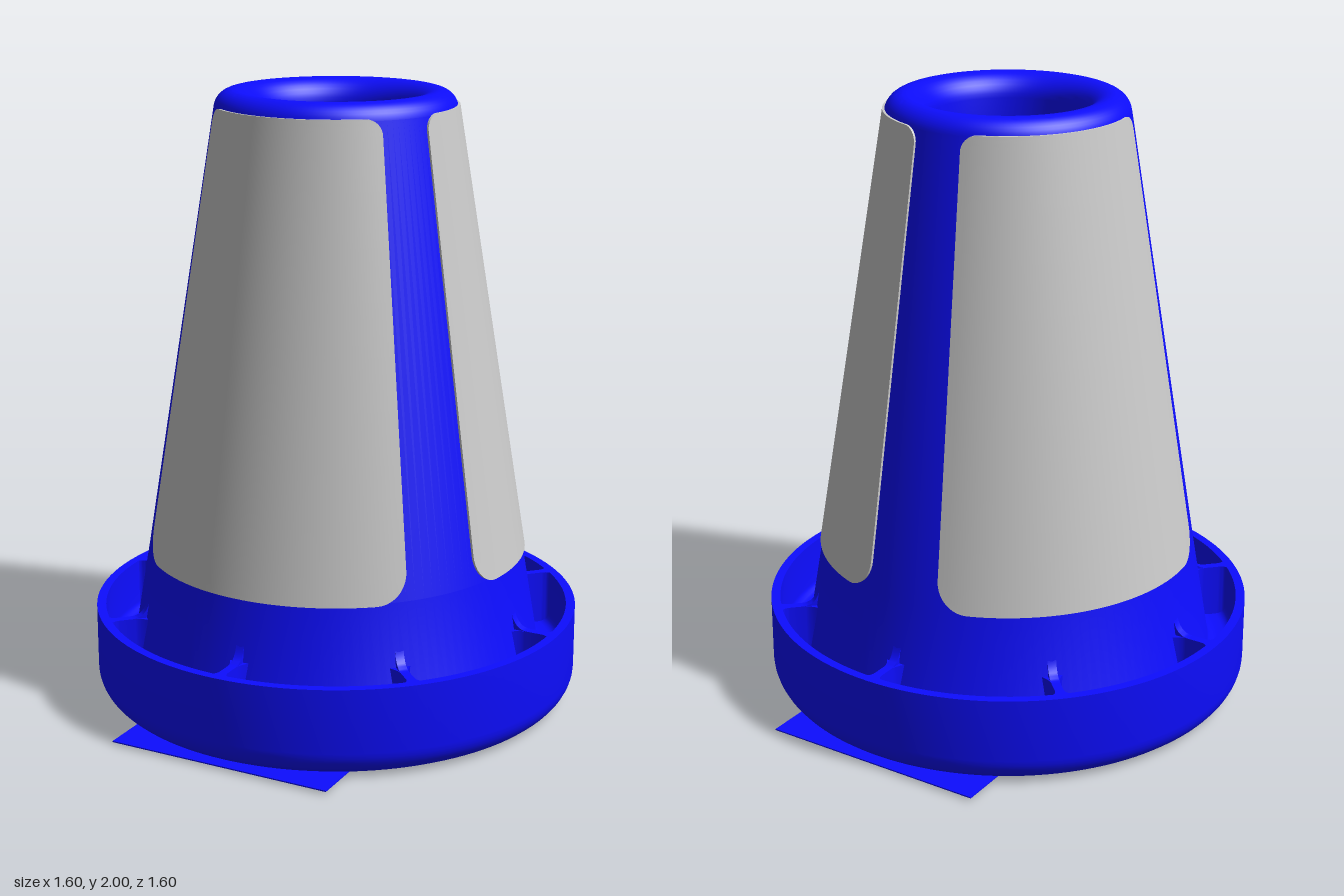
import * as THREE from 'three';
import { toCreasedNormals } from 'three/addons/utils/BufferGeometryUtils.js';

const blue = new THREE.MeshStandardMaterial({ color: 0x0d0dff, side: THREE.DoubleSide });
const grey = new THREE.MeshStandardMaterial({ color: 0xcccccc, side: THREE.DoubleSide });

// Radius of the cone's outer wall at height y
const coneRadius = (y) => 0.701 - 0.162 * y;

function add(parent, name, geometry, material) {
  const mesh = new THREE.Mesh(geometry, material);
  mesh.name = name;
  parent.add(mesh);
  return mesh;
}

// Points along a circular arc, angles in degrees
function arc(cx, cy, r, from, to, n = 8) {
  return Array.from({ length: n + 1 }, (_, i) => {
    const a = THREE.MathUtils.degToRad(from + ((to - from) * i) / n);
    return new THREE.Vector2(cx + r * Math.cos(a), cy + r * Math.sin(a));
  });
}

// Hollow cone with rolled lip and a troughed, round-bottomed base
function bodyGeometry() {
  const p = (x, y) => new THREE.Vector2(x, y);
  const profile = [
    p(0.25, 1.84), p(0.36, 1.88),
    p(coneRadius(0.3) - 0.03, 0.3),
    ...arc(0.68, 0.04, 0.04, 180, 270, 5),
    ...arc(0.71, 0.09, 0.09, 270, 360),
    p(0.8, 0.3), p(0.77, 0.3),
    ...arc(0.74, 0.15, 0.03, 0, -90, 5),
    ...arc(0.71, 0.15, 0.03, 270, 190, 5),
    p(coneRadius(0.5), 0.5),
    ...arc(coneRadius(1.94) - 0.06, 1.94, 0.06, 8, 90),
    ...arc(0.325, 1.925, 0.075, 90, 180),
    p(0.25, 1.84),
  ];
  return toCreasedNormals(new THREE.LatheGeometry(profile, 128), 0.6);
}

// Curved cover with rounded corners whose border folds into the cone
function panelGeometry() {
  const y0 = 0.495, y1 = 1.955, half = THREE.MathUtils.degToRad(48);
  const rows = [];
  const n = 10;
  const corner = (r, t) => [r * (1 - Math.cos(t)), r * (1 - Math.sin(t))];
  for (let i = 0; i <= n; i++) {
    const [dy, inset] = corner(0.1, (i / n) * Math.PI / 2);
    rows.push([y0 + dy, inset]);
  }
  for (let i = 1; i < 8; i++) rows.push([THREE.MathUtils.lerp(y0 + 0.1, y1 - 0.05, i / 8), 0]);
  for (let i = n; i >= 0; i--) {
    const [dy, inset] = corner(0.05, (i / n) * Math.PI / 2);
    rows.push([y1 - dy, inset]);
  }
  // Repeat the end rows so the border can fold inward
  rows.unshift(rows[0]);
  rows.push(rows[rows.length - 1]);
  const cols = 34, last = rows.length - 1;
  const g = new THREE.PlaneGeometry(1, 1, cols, last);
  const pos = g.attributes.position;
  for (let k = 0; k < pos.count; k++) {
    const i = k % (cols + 1), j = last - Math.floor(k / (cols + 1));
    const [y, inset] = rows[j];
    const border = i === 0 || i === cols || j === 0 || j === last;
    const u = THREE.MathUtils.clamp((i - 1) / (cols - 2), 0, 1) * 2 - 1;
    const a = u * (half - inset / coneRadius(y));
    const r = coneRadius(y) + (border ? -0.004 : 0.008);
    pos.setXYZ(k, r * Math.sin(a), y, r * Math.cos(a));
  }
  return toCreasedNormals(g, 0.6);
}

// Trough divider: an upright web flared at both ends
function dividerGeometry() {
  const s = new THREE.Shape();
  s.moveTo(0.645, -0.04);
  s.quadraticCurveTo(0.675, -0.014, 0.7, -0.014);
  s.lineTo(0.745, -0.014);
  s.quadraticCurveTo(0.768, -0.014, 0.775, -0.035);
  s.lineTo(0.775, 0.035);
  s.quadraticCurveTo(0.768, 0.014, 0.745, 0.014);
  s.lineTo(0.7, 0.014);
  s.quadraticCurveTo(0.675, 0.014, 0.645, 0.04);
  const g = new THREE.ExtrudeGeometry(s, { depth: 0.19, bevelEnabled: false, curveSegments: 6 });
  g.rotateX(-Math.PI / 2).translate(0, 0.11, 0);
  return toCreasedNormals(g, 0.6);
}

// Small concave gusset blending a divider into the cone wall
function filletGeometry() {
  const s = new THREE.Shape();
  s.moveTo(0.63, 0.29);
  s.lineTo(0.7, 0.3);
  s.quadraticCurveTo(0.655, 0.3, coneRadius(0.36), 0.36);
  s.lineTo(0.63, 0.36);
  const g = new THREE.ExtrudeGeometry(s, { depth: 0.028, bevelEnabled: false, curveSegments: 8 });
  return toCreasedNormals(g.translate(0, 0, -0.014), 0.6);
}

export function createModel() {
  const model = new THREE.Group();
  model.name = 'taperedCone';
  add(model, 'coneBody', bodyGeometry(), blue);

  // Three covers around the cone, one facing the front
  const panel = panelGeometry();
  for (let i = 0; i < 3; i++) {
    add(model, 'sidePanel', panel, grey).rotation.y = (i * Math.PI * 2) / 3;
  }

  // Eight dividers in the base trough
  const web = dividerGeometry(), fillet = filletGeometry();
  for (let i = 0; i < 8; i++) {
    const divider = new THREE.Group();
    divider.name = 'troughDivider';
    add(divider, 'dividerWeb', web, blue);
    add(divider, 'dividerFillet', fillet, blue);
    divider.rotation.y = (i * Math.PI) / 4;
    model.add(divider);
  }

  // Thin strip passing under the base
  const plate = add(model, 'basePlate', new THREE.BoxGeometry(0.76, 0.004, 1.6), blue);
  plate.position.y = 0.01;
  return model;
}
